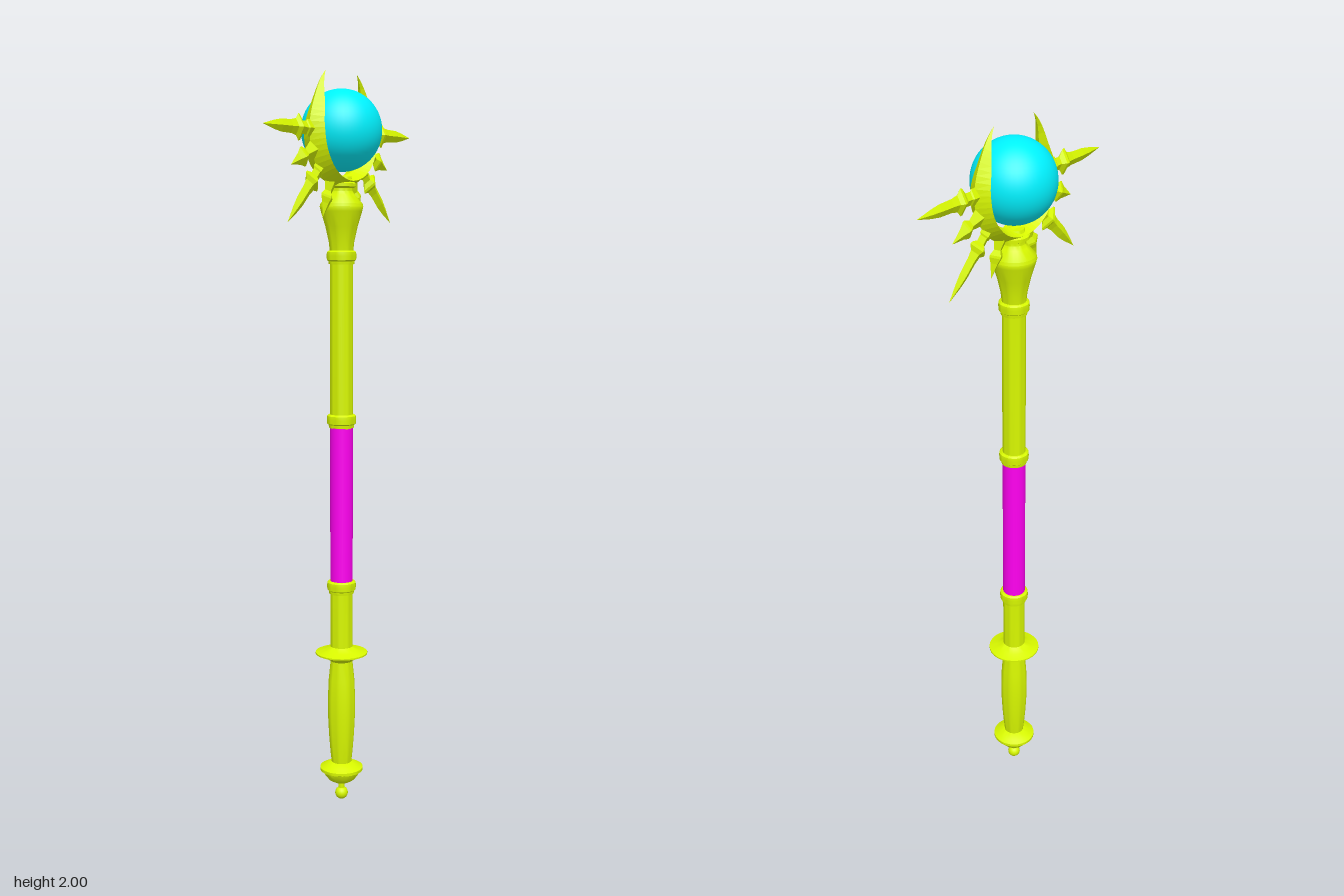
import * as THREE from 'three';
import { toCreasedNormals } from 'three/addons/utils/BufferGeometryUtils.js';

const gold = new THREE.MeshStandardMaterial({ color: 0xd8f800 });
const goldFlat = new THREE.MeshStandardMaterial({ color: 0xd8f800, flatShading: true });
const cyan = new THREE.MeshStandardMaterial({ color: 0x00f2ff });
const magenta = new THREE.MeshStandardMaterial({ color: 0xff00f0 });
const ORB_Y = 1.849;

// Turned part from [radius, height] pairs, bottom to top
function lathe(points, segments) {
  return new THREE.LatheGeometry(points.map(([r, y]) => new THREE.Vector2(r, y)), segments);
}

function add(parent, name, geometry, material) {
  const mesh = new THREE.Mesh(geometry, material);
  mesh.name = name;
  parent.add(mesh);
  return mesh;
}

function turned(parent, name, points) {
  return add(parent, name, toCreasedNormals(lathe(points, 28), 0.55), gold);
}

// Crescent in the yz plane: a diamond section swept round the orb, tapering to both tips
function crescentGeometry() {
  const keys = [0, 0.2, 0.4, 0.6, 0.8, 1];
  const values = [ // inner radius, outer radius, half thickness
    0.116, 0.153, 0.037,
    0.114, 0.151, 0.037,
    0.109, 0.146, 0.036,
    0.105, 0.142, 0.032,
    0.112, 0.143, 0.021,
    0.165, 0.165, 0.0,
  ];
  const section = new THREE.CubicInterpolant(keys, values, 3);
  const steps = 48, positions = [], index = [];
  for (let i = 0; i <= steps; i++) {
    const s = (i / steps) * 2 - 1;
    const a = THREE.MathUtils.degToRad(-90 + s * 154.5);
    const [inner, outer, half] = section.evaluate(Math.abs(s));
    const middle = inner + (outer - inner) * 0.4;
    for (const [x, r] of [[0, inner], [half, middle], [0, outer], [-half, middle]]) {
      positions.push(x, r * Math.sin(a), r * Math.cos(a));
    }
  }
  for (let i = 0; i < steps; i++) {
    for (let j = 0; j < 4; j++) {
      const a = i * 4 + j, b = i * 4 + (j + 1) % 4;
      index.push(a, a + 4, b, b, a + 4, b + 4);
    }
  }
  const g = new THREE.BufferGeometry();
  g.setAttribute('position', new THREE.Float32BufferAttribute(positions, 3));
  g.setIndex(index);
  g.computeVertexNormals();
  return g;
}

export function createModel() {
  const model = new THREE.Group();
  model.name = 'scepter';

  // Pommel cup on a short neck, with a ball at the very bottom
  turned(model, 'pommel', [
    [0.009, 0.03], [0.009, 0.05], [0.024, 0.053], [0.036, 0.06], [0.046, 0.072], [0.051, 0.084],
    [0.06, 0.088], [0.06, 0.096], [0.048, 0.102], [0.03, 0.112], [0, 0.112],
  ]);
  add(model, 'pommelBall', new THREE.SphereGeometry(0.018, 20, 14), gold).position.y = 0.018;

  // Swelling grip and disc guard
  turned(model, 'grip', [
    [0.027, 0.105], [0.031, 0.14], [0.035, 0.19], [0.038, 0.25], [0.038, 0.3],
    [0.036, 0.35], [0.031, 0.4], [0.03, 0.42],
  ]);
  turned(model, 'guard', [
    [0.028, 0.404], [0.036, 0.41], [0.05, 0.418], [0.072, 0.427], [0.072, 0.431],
    [0.05, 0.437], [0.036, 0.444], [0.028, 0.45],
  ]);

  // Shaft in three lengths, the middle one wrapped
  turned(model, 'lowerShaft', [[0.031, 0.44], [0.031, 0.625]]);
  const wrap = add(model, 'shaftWrap', new THREE.CylinderGeometry(0.031, 0.031, 0.45, 28), magenta);
  wrap.position.y = 0.845;
  turned(model, 'upperShaft', [[0.031, 1.06], [0.031, 1.54]]);

  // Collars at the joints
  for (const y of [0.617, 1.08, 1.519]) {
    turned(model, 'collar', [
      [0.03, -0.018], [0.034, -0.018], [0.035, -0.01], [0.039, -0.007], [0.04, 0.004],
      [0.039, 0.014], [0.034, 0.018], [0.03, 0.018],
    ]).position.y = y;
  }

  // Flared head that carries the crescent
  turned(model, 'head', [
    [0.031, 1.532], [0.034, 1.56], [0.043, 1.6], [0.055, 1.64], [0.058, 1.652], [0.056, 1.66],
    [0.036, 1.682], [0.03, 1.692], [0.03, 1.7], [0.039, 1.704], [0.039, 1.712], [0.03, 1.718],
    [0.026, 1.73], [0, 1.73],
  ]);

  add(model, 'orb', new THREE.SphereGeometry(0.107, 48, 32), cyan).position.y = ORB_Y;
  const crescent = add(model, 'crescent', crescentGeometry(), goldFlat);
  crescent.position.y = ORB_Y;

  // Four-sided spikes radiating from the crescent, mirrored front to back
  const longSpike = lathe([
    [0.022, 0.125], [0.022, 0.152], [0.017, 0.156], [0.017, 0.172], [0.032, 0.183],
    [0.034, 0.19], [0.021, 0.2], [0.017, 0.22], [0.016, 0.26], [0.011, 0.29], [0, 0.335],
  ], 4);
  const shortSpike = lathe([
    [0.03, 0.13], [0.02, 0.155], [0.015, 0.168], [0.026, 0.182], [0.026, 0.188],
    [0.016, 0.202], [0, 0.24],
  ], 4);
  const spikes = [[0, longSpike], [23, shortSpike], [45, longSpike], [69, shortSpike]];
  for (const side of [1, -1]) {
    for (const [degreesDown, geometry] of spikes) {
      const isLong = geometry === longSpike;
      const spike = add(model, isLong ? 'longSpike' : 'shortSpike', geometry, goldFlat);
      spike.position.y = ORB_Y - 0.002;
      spike.rotation.x = side * THREE.MathUtils.degToRad(90 + degreesDown);
      spike.scale.x = 0.55;
    }
  }
  return model;
}
